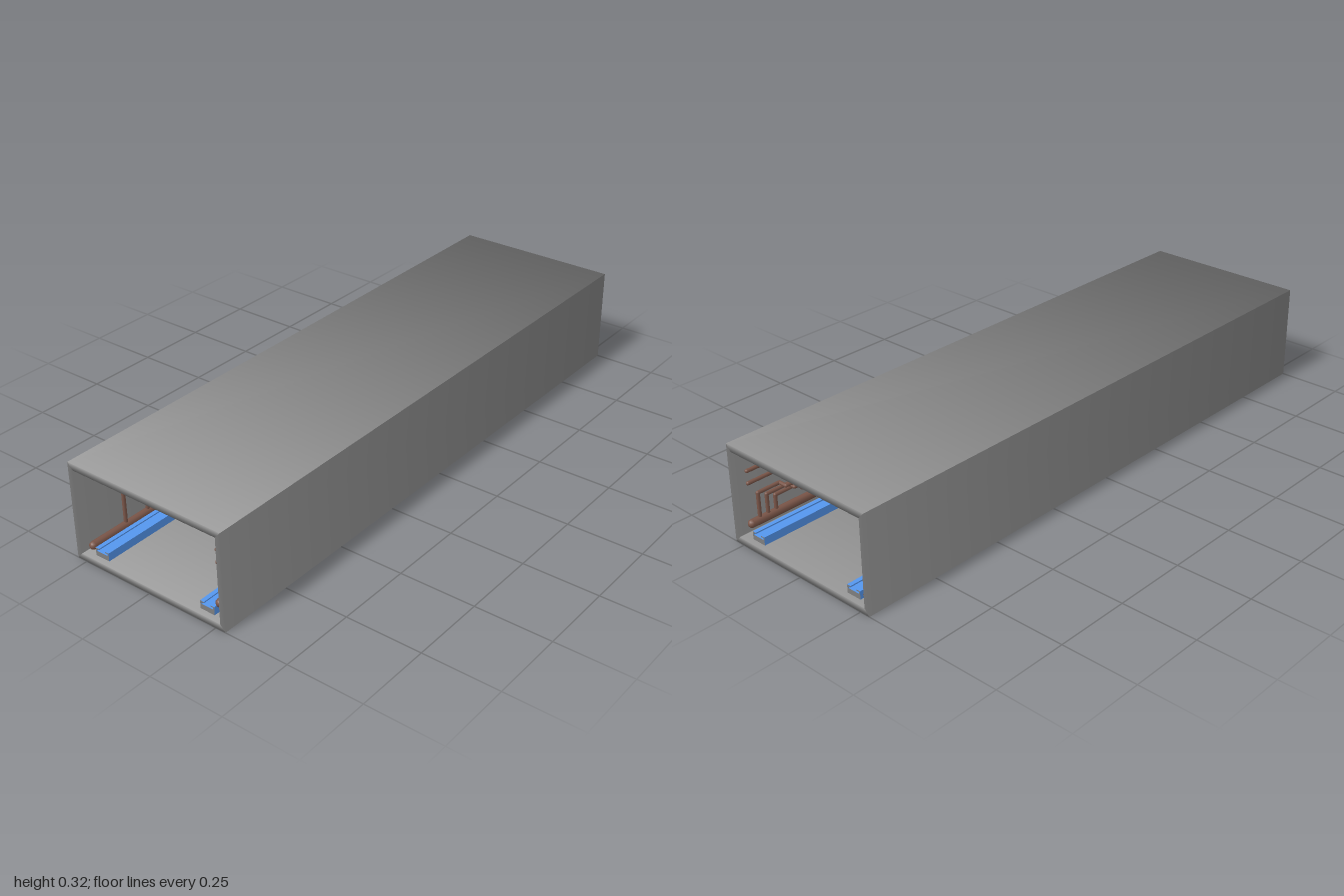
import * as THREE from 'three';

const grey = new THREE.MeshStandardMaterial({ color: 0x7d7d7d });
const copper = new THREE.MeshStandardMaterial({ color: 0x7a5548 });
const bronze = new THREE.MeshStandardMaterial({ color: 0x6a5338 });
const blue = new THREE.MeshStandardMaterial({ color: 0x5596ee });
const teal = new THREE.MeshStandardMaterial({ color: 0x2a9a9a });

function add(parent, name, geometry, material, x = 0, y = 0, z = 0) {
  const mesh = new THREE.Mesh(geometry, material);
  mesh.name = name;
  mesh.position.set(x, y, z);
  parent.add(mesh);
  return mesh;
}

// box given by its limits on each axis
function slab(parent, name, material, x0, x1, y0, y1, z0, z1) {
  return add(parent, name, new THREE.BoxGeometry(x1 - x0, y1 - y0, z1 - z0), material,
    (x0 + x1) / 2, (y0 + y1) / 2, (z0 + z1) / 2);
}

// hollow rectangular tube along z, shaded smoothly over the rims at both ends
function tubeShell(outer, inner) {
  const positions = [], normals = [];
  const quad = (corners) => {
    for (const i of [0, 1, 2, 0, 2, 3]) {
      const { p, z, n } = corners[i];
      positions.push(p[0], p[1], z);
      normals.push(n[0] * Math.SQRT1_2, n[1] * Math.SQRT1_2, z * Math.SQRT1_2);
    }
  };
  const sides = [[0, -1], [1, 0], [0, 1], [-1, 0]];
  sides.forEach((n, i) => {
    const j = (i + 1) % 4;
    const out = (k, z) => ({ p: outer[k], z, n });
    const into = (k, z) => ({ p: inner[k], z, n: [-n[0], -n[1]] });
    quad([out(i, -1), out(j, -1), out(j, 1), out(i, 1)]);
    quad([into(i, 1), into(j, 1), into(j, -1), into(i, -1)]);
    quad([out(i, 1), out(j, 1), into(j, 1), into(i, 1)]);
    quad([into(i, -1), into(j, -1), out(j, -1), out(i, -1)]);
  });
  const geometry = new THREE.BufferGeometry();
  geometry.setAttribute('position', new THREE.Float32BufferAttribute(positions, 3));
  geometry.setAttribute('normal', new THREE.Float32BufferAttribute(normals, 3));
  return geometry;
}

const rectangle = (x, y0, y1) => [[-x, y0], [x, y0], [x, y1], [-x, y1]];

// pipe through points, with a ball at every bend and end
function pipe(parent, name, points, radius) {
  const group = new THREE.Group();
  group.name = name;
  const list = points.map((p) => new THREE.Vector3(...p));
  list.forEach((p, i) => {
    add(group, 'pipeJoint', new THREE.SphereGeometry(radius, 10, 8), copper, p.x, p.y, p.z);
    if (i === 0) return;
    const along = p.clone().sub(list[i - 1]);
    const mid = p.clone().add(list[i - 1]).multiplyScalar(0.5);
    const length = along.length();
    const run = add(group, 'pipeRun', new THREE.CylinderGeometry(radius, radius, length, 10, 1), copper, mid.x, mid.y, mid.z);
    run.quaternion.setFromUnitVectors(new THREE.Vector3(0, 1, 0), along.normalize());
  });
  parent.add(group);
}

// blue channel rail with inward lips and grey ends
function rail(parent, name, x) {
  const half = [[0.026, 0.02], [0.026, 0.047], [0.012, 0.047], [0.012, 0.043], [0.021, 0.043], [0.021, 0.037]];
  const outline = [...half, ...half.map(([a, b]) => [-a, b]).reverse()];
  const shape = new THREE.Shape(outline.map((p) => new THREE.Vector2(...p)));
  const geometry = new THREE.ExtrudeGeometry(shape, { depth: 1.96, bevelEnabled: false });
  add(parent, name, geometry, [grey, blue], x, 0, -0.98);
}

export function createModel() {
  const model = new THREE.Group();
  model.name = 'serviceTunnel';

  // shell, open at both ends
  add(model, 'tunnelShell', tubeShell(rectangle(0.285, 0, 0.323), rectangle(0.267, 0.02, 0.302)), grey);

  // floor rails
  rail(model, 'leftRail', 0.203);
  rail(model, 'rightRail', -0.203);

  // angle strip beside the right rail
  slab(model, 'angleStripWall', bronze, -0.175, -0.172, 0.022, 0.052, -0.8, 0.4);
  slab(model, 'angleStripTop', bronze, -0.188, -0.172, 0.049, 0.052, -0.8, 0.4);

  // ceiling lights
  for (const z of [-0.87, -0.29, 0.29, 0.87]) {
    slab(model, 'lightHousing', grey, -0.027, 0.027, 0.297, 0.303, z - 0.1, z + 0.1);
    slab(model, 'lightPanel', teal, -0.021, 0.021, 0.2962, 0.298, z - 0.093, z + 0.093);
  }

  // panel on the left wall
  slab(model, 'wallPanel', bronze, 0.2615, 0.2655, 0.11, 0.3, -0.3, 0.3);

  // main pipes along the walls
  const r = 0.006;
  pipe(model, 'rightMainPipe', [[-0.249, 0.04, 0.97], [-0.249, 0.04, -0.97]], 0.013);
  pipe(model, 'leftMainPipe', [[0.242, 0.063, 0.97], [0.242, 0.063, -0.97]], 0.013);

  // right wall branches: step up, run back, then rise to the ceiling
  [[0.84, 0.172, 0.55], [0.75, 0.135, 0.46]].forEach(([z, y, zUp]) => {
    const x = -0.249;
    pipe(model, 'rightBranchPipe', [[x, 0.04, z], [x, y, z], [x, y, zUp], [x, 0.29, zUp], [x, 0.29, -0.5]], r);
  });

  // left wall upper pipes, full length
  const heights = [0.289, 0.237, 0.197];
  for (const y of heights) {
    pipe(model, 'leftUpperPipe', [[0.242, y, 0.97], [0.242, y, -0.97]], r);
  }

  // left wall branches: rise, step out from the wall, return and join the upper pipes
  [0.153, 0.136, 0.12].forEach((y, i) => {
    const x = 0.242, out = 0.213, z = -0.94 + i * 0.03, step = -0.86 + i * 0.03, back = -0.8 + i * 0.035;
    pipe(model, 'leftBranchPipe', [[x, 0.063, z], [x, y, z], [x, y, step], [out, y, step],
      [out, y, back], [x, y, back], [x, heights[i], back]], r);
  });

  return model;
}
